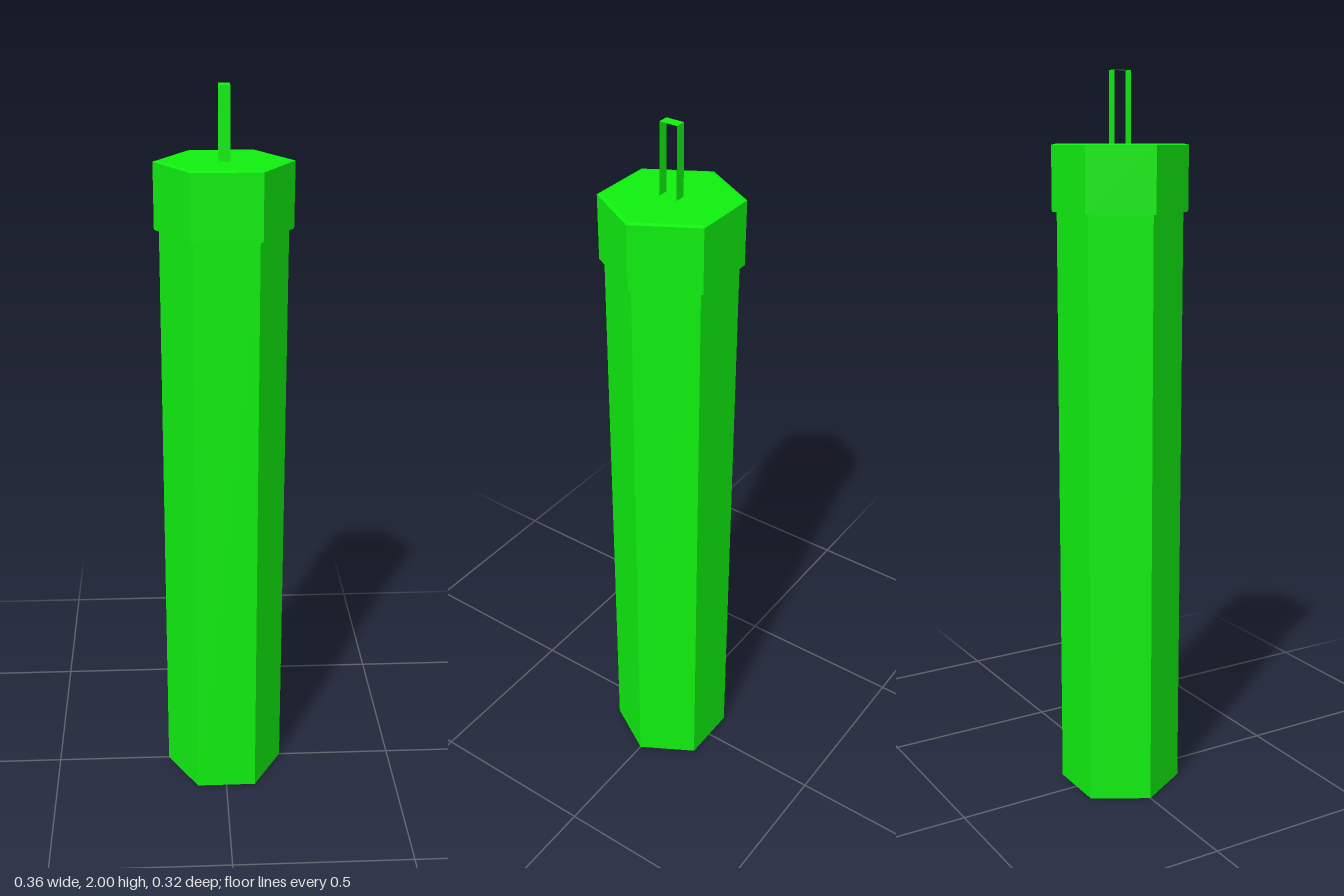
import * as THREE from 'three';

export function createModel() {
  const group = new THREE.Group();
  const green = new THREE.MeshStandardMaterial({ color: 0x10f010, flatShading: true });
  const thinGreen = green.clone();
  thinGreen.side = THREE.DoubleSide;

  const add = (name, geometry, y, material = green) => {
    const mesh = new THREE.Mesh(geometry, material);
    mesh.name = name;
    mesh.position.y = y;
    group.add(mesh);
    return mesh;
  };
  // six-sided prism with corners on the x axis
  const hexPrism = (name, rTop, rBottom, y0, y1) =>
    add(name, new THREE.CylinderGeometry(rTop, rBottom, y1 - y0, 6, 1, false, Math.PI / 2), (y0 + y1) / 2);

  // shaft and the wider collar with its faintly bevelled rim
  hexPrism('shaft', 0.169, 0.169, 0, 1.64);
  hexPrism('collar', 0.182, 0.182, 1.636, 1.81);
  hexPrism('collarRim', 0.17, 0.182, 1.81, 1.813);

  // pin: two thin upright strips joined by a flat top, open at the sides
  const baseY = 1.813, topY = 2, halfW = 0.0145, halfD = 0.025;
  const h = topY - baseY;
  for (const s of [1, -1]) {
    const strip = add(s > 0 ? 'pinFront' : 'pinBack', new THREE.PlaneGeometry(halfW * 2, h), baseY + h / 2, thinGreen);
    strip.position.z = s * halfD;
    if (s < 0) strip.rotation.y = Math.PI;
  }
  const pinTop = add('pinTop', new THREE.PlaneGeometry(halfW * 2, halfD * 2), topY, thinGreen);
  pinTop.rotation.x = -Math.PI / 2;

  // hexagonal foot plate of the pin, flush with the collar
  const foot = add('pinFoot', new THREE.CircleGeometry(0.029, 6), baseY + 0.0005);
  foot.rotation.x = -Math.PI / 2;

  return group;
}
